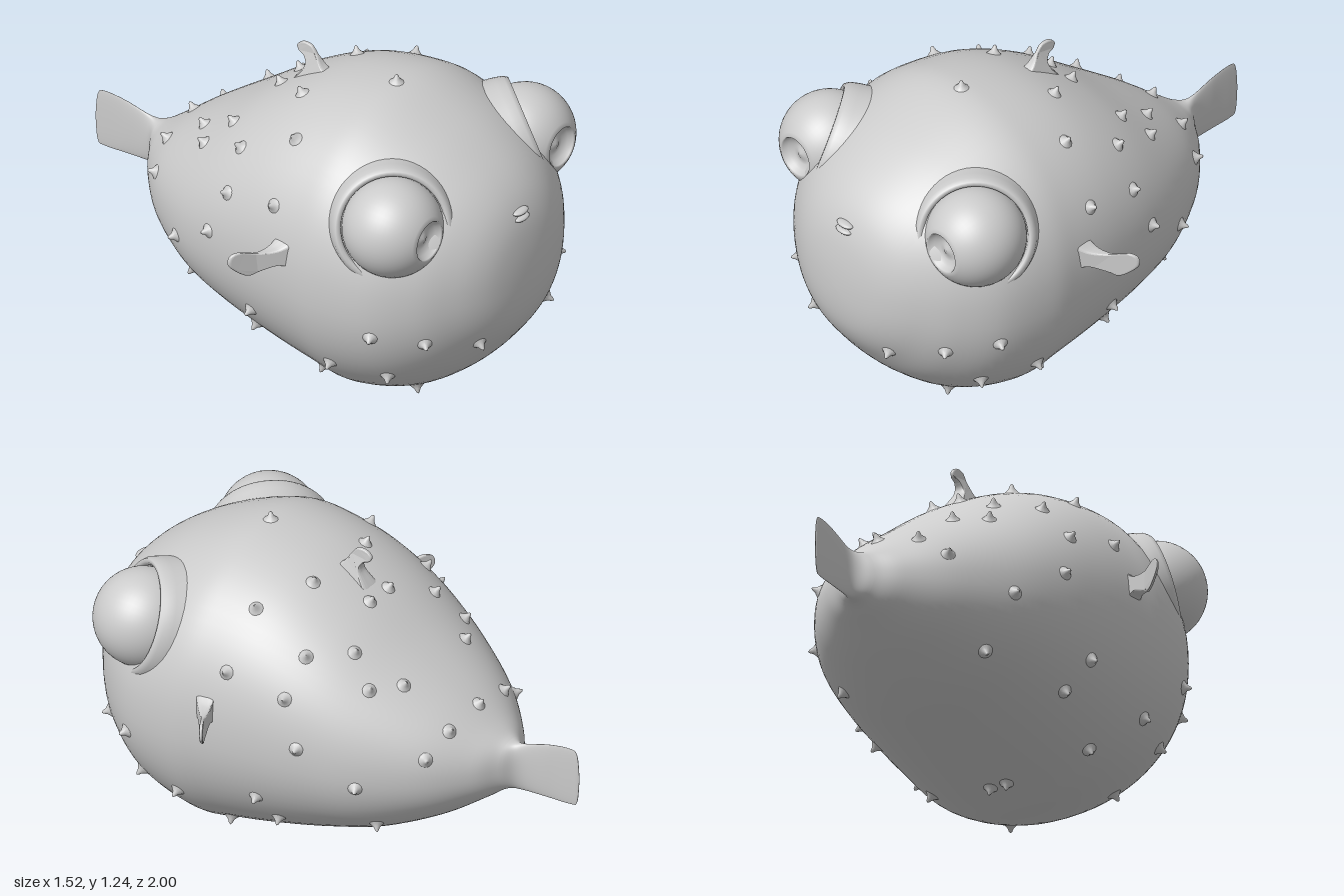
import * as THREE from 'three';

const material = new THREE.MeshStandardMaterial({ color: 0xcccccc, side: THREE.DoubleSide });
const UP = new THREE.Vector3(0, 1, 0);

// Cross-sections from nose to tail: z, top, bottom, half width
const ROWS = [
  [1, 0.58, 0.58, 0], [0.99, 0.72, 0.46, 0.13], [0.96, 0.84, 0.37, 0.24], [0.9, 0.94, 0.28, 0.345],
  [0.8, 1.03, 0.165, 0.46], [0.65, 1.12, 0.06, 0.555], [0.45, 1.2, 0, 0.595], [0.3, 1.205, 0.02, 0.59],
  [0.1, 1.16, 0.065, 0.57], [-0.1, 1.06, 0.12, 0.53], [-0.3, 0.92, 0.185, 0.455], [-0.5, 0.78, 0.285, 0.325],
  [-0.64, 0.67, 0.38, 0.18], [-0.705, 0.63, 0.425, 0.085], [-0.76, 0.63, 0.43, 0.022], [-0.87, 0.66, 0.43, 0.009],
  [-0.96, 0.67, 0.43, 0.006], [-0.99, 0.65, 0.445, 0.005], [-1, 0.56, 0.54, 0.001],
];
const TAIL = 13, END = ROWS.length - 1, ROUND = 0.93;

// Smooth interpolation between the cross-sections
function section(t) {
  const i = Math.min(Math.floor(t), END - 1), f = t - i;
  const before = i > 0 ? ROWS[i - 1] : [0.99, 0.46, 0.72, -0.13];
  const after = ROWS[Math.min(i + 2, END)];
  return ROWS[i].map((b, k) => {
    const a = before[k], c = ROWS[i + 1][k], d = after[k];
    return b + 0.5 * f * (c - a + f * (2 * a - 5 * b + 4 * c - d + f * (3 * (b - c) + d - a)));
  });
}

const soften = v => Math.sign(v) * Math.abs(v) ** ROUND;

function surface(t, angle) {
  const [z, top, bottom, width] = section(t);
  const bend = -0.08 * Math.max(0, -0.75 - z);
  return new THREE.Vector3(
    width * soften(Math.cos(angle)) + bend,
    (top + bottom) / 2 + (top - bottom) / 2 * soften(Math.sin(angle)), z);
}

function loft(from, to, steps, sides = 72) {
  const positions = [], index = [];
  for (let i = 0; i <= steps; i++) {
    for (let j = 0; j < sides; j++) {
      positions.push(...surface(from + (to - from) * i / steps, j / sides * Math.PI * 2).toArray());
      if (i === steps) continue;
      const a = i * sides + j, b = i * sides + (j + 1) % sides;
      index.push(a, a + sides, b, b, a + sides, b + sides);
    }
  }
  const geometry = new THREE.BufferGeometry();
  geometry.setAttribute('position', new THREE.Float32BufferAttribute(positions, 3));
  geometry.setIndex(index);
  geometry.computeVertexNormals();
  return geometry;
}

const lathe = (points, sides) => new THREE.LatheGeometry(points.map(p => new THREE.Vector2(...p)), sides);

// Thin rounded fin, thickened towards its root by swell(x, y)
function finGeometry(points, swell) {
  const [first, ...rest] = points.map(p => new THREE.Vector2(...p));
  const shape = new THREE.Shape().moveTo(first.x, first.y);
  shape.splineThru(rest);
  shape.closePath();
  const geometry = new THREE.ExtrudeGeometry(shape, {
    depth: 0.006, bevelThickness: 0.005, bevelSize: 0.006, bevelOffset: -0.006, bevelSegments: 3, curveSegments: 40,
  });
  geometry.translate(0, 0, -0.003);
  const p = geometry.attributes.position;
  for (let i = 0; i < p.count; i++) p.setZ(i, p.getZ(i) * swell(p.getX(i), p.getY(i)));
  geometry.computeVertexNormals();
  return geometry;
}

export function createModel() {
  const model = new THREE.Group();
  const add = (name, geometry) => {
    const mesh = new THREE.Mesh(geometry, material);
    mesh.name = name;
    model.add(mesh);
    return mesh;
  };

  add('body', loft(0, TAIL, 78));
  add('tailFin', loft(TAIL, END, 40));

  // Eyes: a ball with a dished pupil facing forward
  const eyeProfile = [];
  const R = 0.19, rim = Math.asin(0.08 / R);
  for (let i = 0; i <= 28; i++) {
    const a = Math.PI - (Math.PI - rim) * i / 28;
    eyeProfile.push([R * Math.sin(a), R * Math.cos(a)]);
  }
  eyeProfile.push([0.077, 0.165], [0.066, 0.147], [0.045, 0.136], [0.03, 0.135], [0.018, 0.142], [0, 0.146]);
  // Socket: a rounded rim flaring back into the head
  const socketProfile = [
    [0.29, -0.24], [0.26, -0.16], [0.243, -0.09], [0.234, -0.03], [0.226, 0.005],
    [0.214, 0.022], [0.202, 0.022], [0.194, 0.01], [0.19, -0.03],
  ];
  // Side fin outline
  const finOutline = [
    [0.56, 0.77], [0.605, 0.74], [0.66, 0.735], [0.72, 0.752], [0.752, 0.742], [0.758, 0.705],
    [0.725, 0.665], [0.69, 0.645], [0.65, 0.658], [0.605, 0.67], [0.56, 0.65],
  ];
  for (const [side, s] of [['left', 1], ['right', -1]]) {
    const eye = add(side + 'Eye', lathe(eyeProfile, 48));
    eye.rotation.x = Math.PI / 2;
    eye.position.set(s * 0.41, 0.89, 0.67);

    const socket = add(side + 'EyeSocket', lathe(socketProfile, 56));
    socket.quaternion.setFromUnitVectors(UP, new THREE.Vector3(s * 0.72, 0.33, 0.61).normalize());
    socket.position.copy(eye.position);

    const fin = finGeometry(finOutline.map(([x, y]) => [s * x, y]),
      x => 1 + 4 * Math.max(0, (0.67 - Math.abs(x)) / 0.1));
    const p = fin.attributes.position;
    for (let i = 0; i < p.count; i++) p.setZ(i, p.getZ(i) + 0.265 - 0.6 * (Math.abs(p.getX(i)) - 0.6));
    fin.computeVertexNormals();
    add(side + 'SideFin', fin);
  }

  // Small curled fin on the back
  const dorsal = finGeometry([
    [-0.1, 1.11], [-0.045, 1.15], [-0.015, 1.19], [0.012, 1.222], [0.05, 1.225], [0.076, 1.205],
    [0.07, 1.183], [0.042, 1.168], [0.035, 1.13], [0.09, 1.04], [0, 1.04],
  ], (x, y) => 1 + 3 * Math.max(0, (1.19 - y) / 0.08));
  dorsal.rotateY(Math.PI / 2);
  add('dorsalFin', dorsal);

  // Mouth: two small lips
  for (const [name, y, z] of [['upperLip', 0.86, 0.955], ['lowerLip', 0.835, 0.96]]) {
    const lip = add(name, new THREE.SphereGeometry(1, 24, 12));
    lip.scale.set(0.04, 0.011, 0.022);
    lip.position.set(0, y, z);
  }

  // Spikes standing on the skin
  const spikeGeometry = lathe([[0.036, -0.008], [0.022, 0.004], [0.012, 0.014], [0.006, 0.028], [0, 0.033]], 12);
  const findRow = z => {
    let low = 0, high = TAIL;
    for (let i = 0; i < 30; i++) {
      const mid = (low + high) / 2;
      if (section(mid)[0] > z) low = mid; else high = mid;
    }
    return low;
  };
  const addSpike = (t, angle) => {
    const e = 0.01, at = surface(t, angle);
    const around = surface(t, angle + e).sub(surface(t, angle - e));
    const along = surface(t + e, angle).sub(surface(t - e, angle));
    const spike = add('spike', spikeGeometry);
    spike.position.copy(at);
    spike.quaternion.setFromUnitVectors(UP, along.cross(around).normalize());
  };
  const unsoften = v => Math.sign(v) * Math.min(1, Math.abs(v)) ** (1 / ROUND);

  // Flank spikes by z and height, on both sides
  const flank = [
    [0.21, 0.87], [-0.03, 0.82], [-0.1, 0.64], [-0.52, 0.62], [-0.31, 0.5], [-0.32, 0.29], [0.09, 0.36],
    [0.05, 0.24], [0.31, 0.12], [0.23, 0.035], [0.45, 0.26], [0.66, 0.24], [0.66, 0.46], [0.82, 0.43],
    [0.92, 0.37], [0.65, 0.1], [-0.28, 0.85], [-0.55, 0.7],
  ];
  for (const [z, y] of flank) {
    const t = findRow(z), [, top, bottom] = section(t);
    const angle = Math.asin(unsoften((2 * y - top - bottom) / (top - bottom)));
    addSpike(t, angle);
    addSpike(t, Math.PI - angle);
  }
  // Back spikes by z and distance from the middle
  const back = [[-0.36, 0.2], [-0.18, 0.26], [-0.11, 0.06], [0.07, 0.17], [0.19, 0.37], [-0.05, 0.39]];
  for (const [z, x] of back) {
    const t = findRow(z), angle = Math.acos(unsoften(x / section(t)[3]));
    addSpike(t, angle);
    addSpike(t, Math.PI - angle);
  }
  // Spikes along the middle of the back
  for (const z of [0.38, -0.56]) addSpike(findRow(z), Math.PI / 2);

  return model;
}
